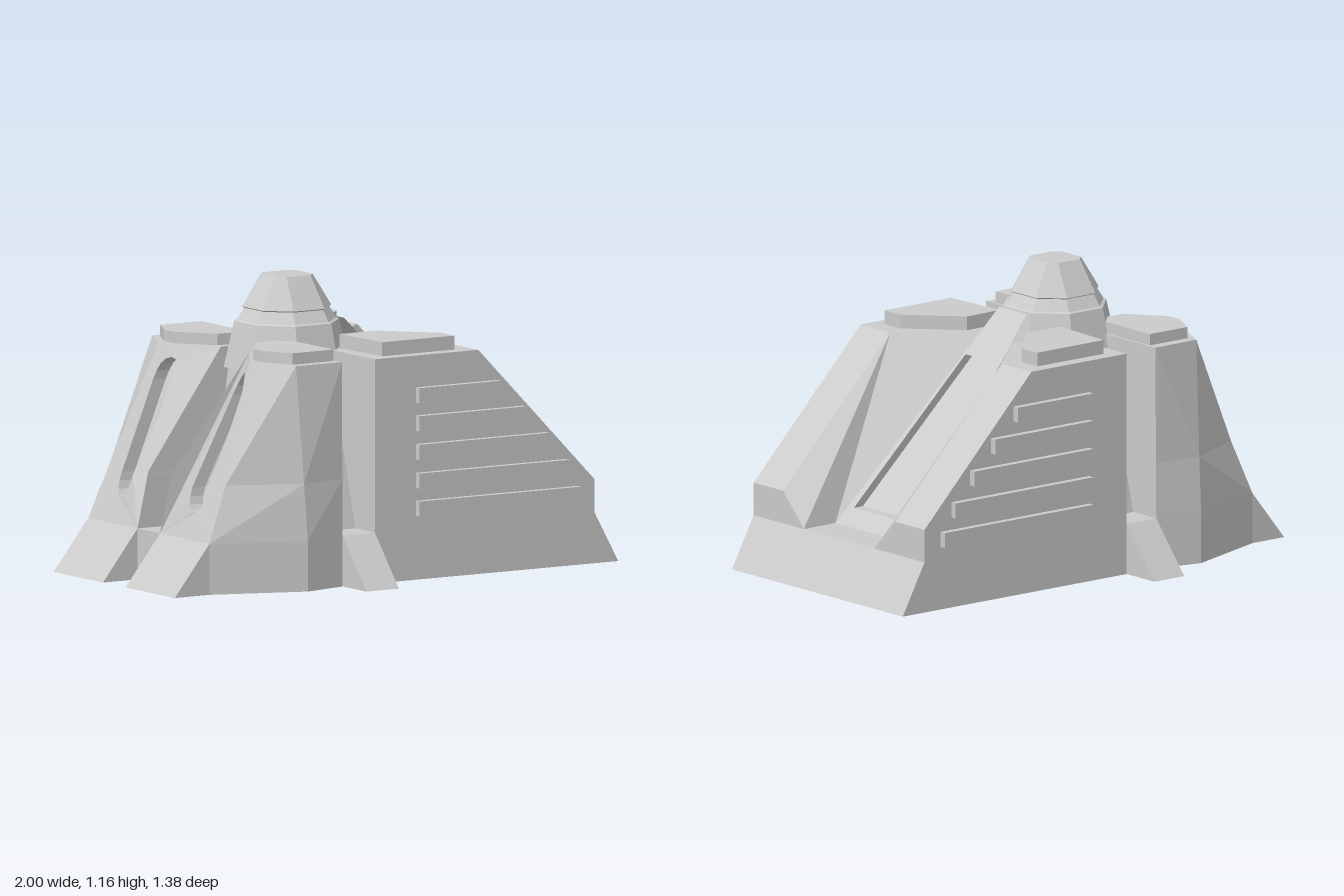
import * as THREE from 'three';

const mat = new THREE.MeshStandardMaterial({ color: 0xcccccc, flatShading: true, side: THREE.DoubleSide });

function mesh(geometry, name, parent) {
  const m = new THREE.Mesh(geometry, mat);
  m.name = name;
  parent.add(m);
  return m;
}

function fromTriangles(tris) {
  const g = new THREE.BufferGeometry();
  g.setAttribute('position', new THREE.Float32BufferAttribute(tris.flat(2), 3));
  g.computeVertexNormals();
  return g;
}

// Flat-sided polygons, each fanned from its first corner
function panels(polys) {
  const tris = [];
  for (const p of polys)
    for (let i = 1; i < p.length - 1; i++) tris.push([p[0], p[i], p[i + 1]]);
  return fromTriangles(tris);
}

// Skin between successive rows of points
function loft(rows, closed = false) {
  const tris = [];
  for (let r = 0; r < rows.length - 1; r++) {
    const a = rows[r], b = rows[r + 1], n = a.length;
    for (let i = 0; i < (closed ? n : n - 1); i++) {
      const j = (i + 1) % n;
      tris.push([a[i], a[j], b[j]], [a[i], b[j], b[i]]);
    }
  }
  return fromTriangles(tris);
}

const vec2 = pts => pts.map(p => new THREE.Vector2(p[0], p[1]));

// Sloping panel drawn in (z, y), placed by xAt(z, y), with a sunken recess
function recessedPanel(outline, hole, xAt, depth, name, parent) {
  const place = (z, y, d = 0) => [xAt(z, y) + d, y, z];
  const sheet = (pts, holePts, d) => {
    const s = new THREE.Shape(vec2(pts));
    if (holePts) s.holes.push(new THREE.Path(vec2(holePts)));
    const g = new THREE.ShapeGeometry(s).toNonIndexed();
    const p = g.attributes.position;
    for (let i = 0; i < p.count; i++) p.setXYZ(i, ...place(p.getX(i), p.getY(i), d));
    g.computeVertexNormals();
    return g;
  };
  mesh(sheet(outline, hole, 0), name, parent);
  mesh(sheet(hole, null, depth), name + 'RecessFloor', parent);
  mesh(loft([hole.map(([z, y]) => place(z, y)), hole.map(([z, y]) => place(z, y, depth))], true),
    name + 'RecessRim', parent);
}

// Raised pad from an outline in (x, z)
function pad(outline, height, name, parent) {
  const g = new THREE.ExtrudeGeometry(new THREE.Shape(vec2(outline.map(([x, z]) => [x, -z]))),
    { depth: height, bevelEnabled: false });
  g.rotateX(-Math.PI / 2);
  mesh(g, name, parent).position.y = 0.88;
}

// Half of the long sloping block
function buildBlock(parent) {
  mesh(panels([
    [[-0.13, 0, 0.52], [1, 0, 0.52], [0.89, 0.2, 0.52], [0.89, 0.33, 0.52], [0.35, 0.88, 0.52], [-0.13, 0.88, 0.52]],
    [[1, 0, 0.52], [1, 0, 0], [0.89, 0.2, 0], [0.89, 0.2, 0.52]],
    [[0.89, 0.2, 0.52], [0.89, 0.2, 0.215], [0.89, 0.33, 0.34], [0.89, 0.33, 0.52]],
    [[0.89, 0.33, 0.52], [0.89, 0.33, 0.34], [0.35, 0.88, 0.34], [0.35, 0.88, 0.52]],
    [[0.35, 0.88, 0.34], [0.89, 0.33, 0.34], [0.89, 0.2, 0.215], [0.73, 0.2, 0.215], [0.1, 0.88, 0.1]],
    [[0.89, 0.2, 0.215], [0.89, 0.2, 0], [0.73, 0.2, 0], [0.73, 0.2, 0.215]],
    [[-0.13, 0.88, 0.52], [0.35, 0.88, 0.52], [0.35, 0.88, 0.34], [0.1, 0.88, 0.1], [-0.13, 0.88, 0.1]],
    [[-0.13, 0, 0.1], [-0.13, 0, 0.52], [-0.13, 0.88, 0.52], [-0.13, 0.88, 0.1]],
  ]), 'slopedBlock', parent);
  pad([[-0.06, 0.465], [0.275, 0.465], [0.275, 0.37], [0.095, 0.18], [-0.075, 0.185]], 0.055, 'blockPad', parent);

  // Side slats, longer towards the ground
  [[0.725, 0.44], [0.615, 0.555], [0.503, 0.66], [0.39, 0.755], [0.28, 0.81]].forEach(([y, end]) => {
    mesh(new THREE.BoxGeometry(end - 0.06, 0.06, 0.03), 'sideSlat', parent)
      .position.set((end + 0.06) / 2, y, 0.532);
  });
}

// One rear leg
function buildLeg(parent) {
  const row = (y, pts) => pts.map(([x, z]) => [x, y, z]);
  const base = [[-0.84, 0.43], [-0.47, 0.563], [-0.28, 0.52], [-0.28, 0.08], [-0.84, 0.08]];
  mesh(loft([
    row(0, base),
    row(0.2, base),
    row(0.42, [[-0.75, 0.407], [-0.476, 0.546], [-0.28, 0.518], [-0.28, 0.09], [-0.79, 0.08]]),
    row(0.88, [[-0.56, 0.36], [-0.49, 0.51], [-0.28, 0.515], [-0.28, 0.12], [-0.44, 0.1]]),
  ]), 'legWalls', parent);
  mesh(panels([row(0.88, [[-0.28, 0.515], [-0.49, 0.51], [-0.56, 0.36], [-0.56, 0.29], [-0.44, 0.1], [-0.28, 0.12]])]),
    'legTop', parent);
  mesh(panels([
    [[-1, 0, 0.08], [-1, 0, 0.43], [-0.84, 0.2, 0.43], [-0.84, 0.2, 0.08]],
    [[-1, 0, 0.43], [-0.84, 0, 0.43], [-0.84, 0.2, 0.43]],
    [[-1, 0, 0.08], [-0.84, 0.2, 0.08], [-0.84, 0, 0.08]],
  ]), 'legToe', parent);

  // Back face, bulging on its inner edge, with a round-ended slot
  const xAt = (z, y) => {
    const k = THREE.MathUtils.clamp((0.29 - z) / 0.19, 0, 1);
    const bulge = y < 0.42 ? -0.04 * (y - 0.2) / 0.22 : -0.04 + 0.16 * (y - 0.42) / 0.46;
    return -0.84 + 0.28 * (y - 0.2) / 0.68 + bulge * k;
  };
  const slot = [];
  for (let i = 0; i < 18; i++) {
    const a = (i < 9 ? i : i - 1) / 8 * Math.PI;
    slot.push([0.26 + 0.05 * Math.cos(a), (i < 9 ? 0.74 : 0.39) + 0.09 * Math.sin(a)]);
  }
  recessedPanel([[0.08, 0.2], [0.43, 0.2], [0.36, 0.88], [0.29, 0.88], [0.1, 0.88], [0.08, 0.42]],
    slot, xAt, 0.06, 'legBack', parent);
  pad([[-0.29, 0.47], [-0.48, 0.47], [-0.54, 0.35], [-0.54, 0.28], [-0.43, 0.14], [-0.29, 0.13]], 0.045, 'legPad', parent);
}

// Narrow buttress between leg and block
function buildButtress(parent) {
  const side = (x, topX) => [[x, 0, 0.69], [x, 0.2, 0.52], [x, 0.2, 0.38], [topX, 0.98, 0.18]];
  mesh(loft([side(-0.28, -0.27), side(-0.13, -0.14)]), 'sideButtress', parent);
  mesh(panels([-0.28, -0.13].map(x => [[x, 0, 0.69], [x, 0.2, 0.52], [x, 0, 0.52]])), 'buttressCheeks', parent);
}

// Stepped eight-sided tower
function buildTower(parent) {
  const ring = (y, a, w) => [[a, w], [w, a], [-w, a], [-a, w], [-a, -w], [-w, -a], [w, -a], [a, -w]]
    .map(([x, z]) => [x - 0.2, y, z]);
  const top = ring(1.16, 0.085, 0.055);
  mesh(loft([
    ring(0.8, 0.23, 0.095), ring(0.98, 0.19, 0.083), ring(0.985, 0.18, 0.078),
    ring(1.03, 0.152, 0.07), ring(1.035, 0.16, 0.072), top,
  ], true), 'tower', parent);
  mesh(panels([top]), 'towerTop', parent);
}

export function createModel() {
  const model = new THREE.Group();
  model.name = 'steppedFort';

  for (const s of [1, -1]) {
    const half = new THREE.Group();
    half.name = s > 0 ? 'frontHalf' : 'backHalf';
    half.scale.z = s;
    buildBlock(half);
    buildLeg(half);
    buildButtress(half);
    model.add(half);
  }

  buildTower(model);

  // Central ramp with its sunken panel
  recessedPanel([[-0.215, 0.2], [0.215, 0.2], [0.083, 0.98], [-0.083, 0.98]],
    [[-0.17, 0.26], [0.17, 0.26], [0.1, 0.81], [-0.1, 0.81]],
    (z, y) => 0.73 - (y - 0.2) * 0.92, -0.045, 'ramp', model);

  // Low step and ramp between the legs
  const spine = z => [[-0.84, 0, z], [-0.84, 0.2, z], [-0.51, 0.2, z], [-0.39, 0.98, z]];
  mesh(loft([spine(-0.082), spine(0.082)]), 'rearStep', model);

  return model;
}
